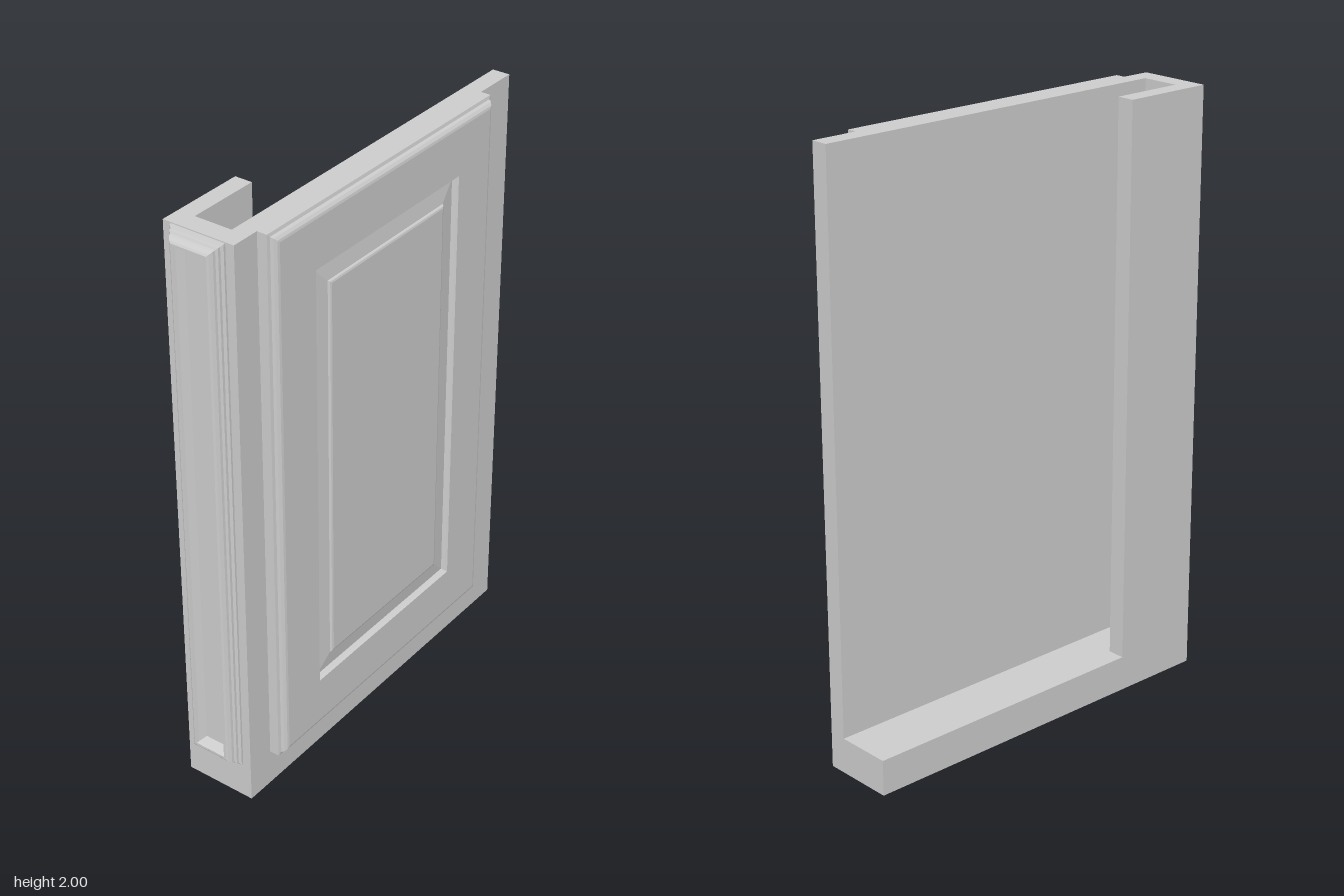
import * as THREE from 'three';

const material = new THREE.MeshStandardMaterial({ color: 0xcccccc });

// Moulded rectangular panel facing +z: each profile step is [inset, depth],
// mitred at the corners and closed by a flat field at the last step.
function mouldedPanel(name, width, height, profile) {
  const positions = [];
  const ring = ([inset, depth]) => {
    const w = width / 2 - inset, h = height / 2 - inset;
    return [[-w, -h, depth], [w, -h, depth], [w, h, depth], [-w, h, depth]];
  };
  const quad = (a, b, c, d) => positions.push(...a, ...b, ...c, ...a, ...c, ...d);
  for (let i = 0; i < profile.length - 1; i++) {
    const outer = ring(profile[i]), inner = ring(profile[i + 1]);
    for (let k = 0; k < 4; k++) {
      const n = (k + 1) % 4;
      quad(outer[k], outer[n], inner[n], inner[k]);
    }
  }
  quad(...ring(profile[profile.length - 1]));
  const back = ring(profile[0]);
  quad(back[3], back[2], back[1], back[0]);
  const geometry = new THREE.BufferGeometry();
  geometry.setAttribute('position', new THREE.Float32BufferAttribute(positions, 3));
  geometry.computeVertexNormals();
  const mesh = new THREE.Mesh(geometry, material);
  mesh.name = name;
  return mesh;
}

export function createModel() {
  const group = new THREE.Group();
  group.name = 'cabinetEndPanel';

  const baseHeight = 0.12;
  const left = -0.155, right = 0.095, back = -0.695, front = 0.65, wall = 0.06;

  // Solid plinth under the walls
  const base = new THREE.Mesh(
    new THREE.BoxGeometry(right - left, baseHeight, front - back), material);
  base.name = 'base';
  base.position.set((left + right) / 2, baseHeight / 2, (front + back) / 2);
  group.add(base);

  // Hook-shaped wall: long side, front stile and short return.
  // Plan is drawn as (x, -z) and extruded upwards.
  const plan = new THREE.Shape([
    [left, front], [right, front], [right, back], [right - wall, back],
    [right - wall, front - 0.065], [left + wall, front - 0.065],
    [left + wall, 0.335], [left, 0.335],
  ].map(([x, z]) => new THREE.Vector2(x, -z)));
  const wallGeometry = new THREE.ExtrudeGeometry(plan, { depth: 2 - baseHeight, bevelEnabled: false });
  wallGeometry.rotateX(-Math.PI / 2);
  const walls = new THREE.Mesh(wallGeometry, material);
  walls.name = 'walls';
  walls.position.y = baseHeight;
  group.add(walls);

  // Raised-panel door on the long side
  const door = mouldedPanel('sideDoor', 1.09, 1.872, [
    [0, 0], [0, 0.034], [0.01, 0.037], [0.014, 0.046], [0.022, 0.053], [0.03, 0.055],
    [0.19, 0.055], [0.193, 0.047], [0.199, 0.036],
    [0.258, 0.044], [0.262, 0.05], [0.268, 0.052],
  ]);
  door.rotation.y = Math.PI / 2;
  door.position.set(right, 1.064, 0.006);
  group.add(door);

  // Narrow recessed panel on the front stile
  const pilaster = mouldedPanel('frontPanel', 0.19, 1.865, [
    [0, 0], [0, 0.007], [0.008, 0.012], [0.009, 0.02], [0.016, 0.024],
    [0.018, 0.032], [0.026, 0.041], [0.032, 0.045], [0.04, 0.045],
    [0.044, 0.038], [0.06, 0.018],
  ]);
  pilaster.position.set(-0.03, 1.064, front);
  group.add(pilaster);

  return group;
}
